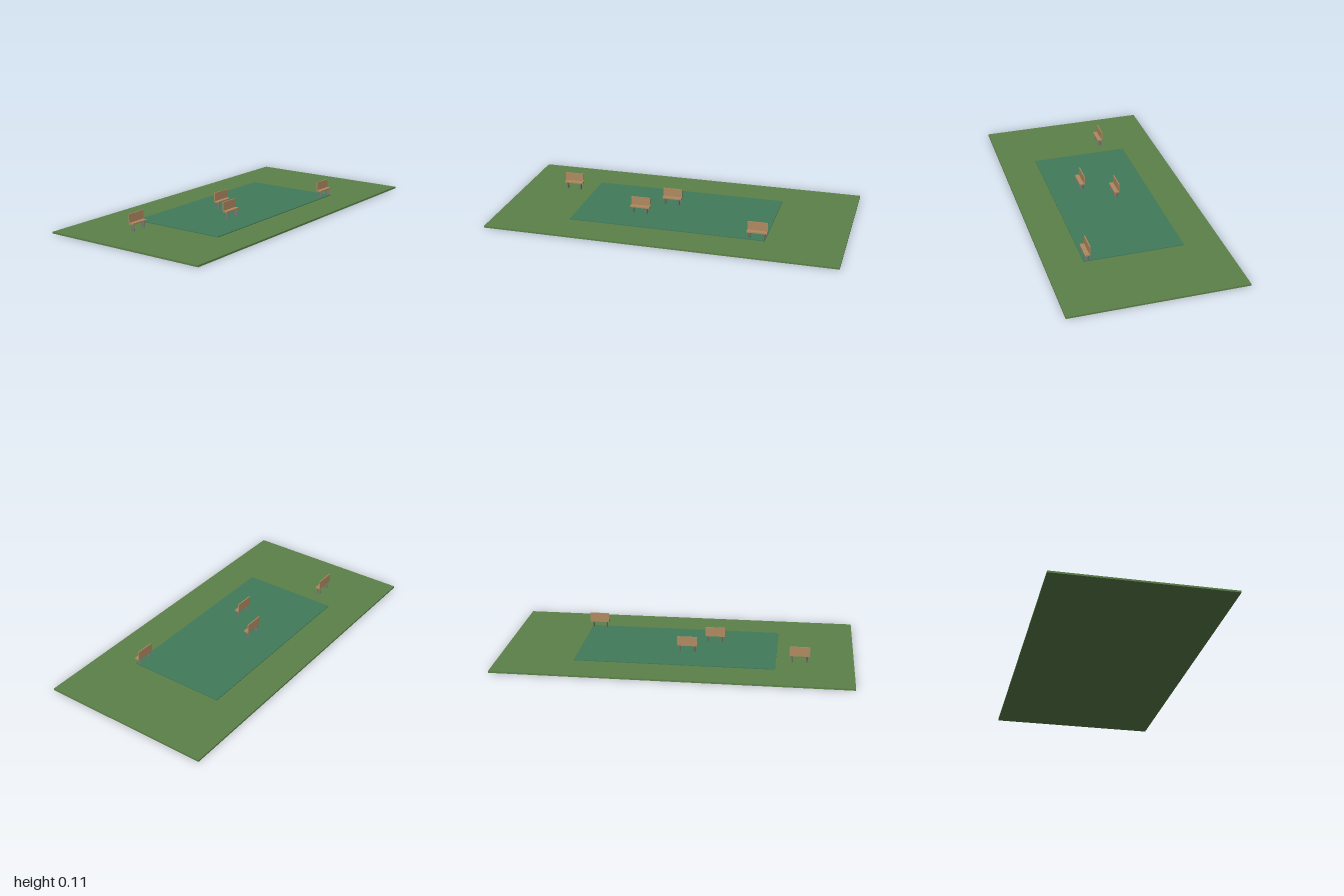
import * as THREE from 'three';

const material = (color) => new THREE.MeshStandardMaterial({ color });
const grass = material(0x5c814a);
const water = material(0x427a5a);
const wood = material(0xb08a60);
const metal = material(0x777777);

function addBox(parent, name, mat, size, position) {
  const mesh = new THREE.Mesh(new THREE.BoxGeometry(...size), mat);
  mesh.name = name;
  mesh.position.set(...position);
  parent.add(mesh);
}

// Bench facing +z, standing on y = 0
function createBench() {
  const bench = new THREE.Group();
  bench.name = 'bench';
  addBox(bench, 'seat', wood, [0.114, 0.008, 0.028], [0, 0.043, 0]);
  addBox(bench, 'backrest', wood, [0.114, 0.05, 0.006], [0, 0.071, -0.014]);

  // Flattened oval legs
  for (const side of [-1, 1]) {
    const geometry = new THREE.CylinderGeometry(0.0115, 0.0115, 0.039, 24);
    geometry.scale(0.4, 1, 1);
    const leg = new THREE.Mesh(geometry, metal);
    leg.name = side > 0 ? 'leftLeg' : 'rightLeg';
    leg.position.set(side * 0.041, 0.0195, 0);
    bench.add(leg);
  }
  return bench;
}

export function createModel() {
  const park = new THREE.Group();
  park.name = 'park';

  // Lawn slab and the thin inset panel on it
  addBox(park, 'lawn', grass, [2, 0.01, 0.99], [0, 0.005, 0]);
  addBox(park, 'centrePanel', water, [1.13, 0.006, 0.566], [0, 0.011, 0]);

  // Benches, as [x, z]
  const spots = [[-0.697, -0.155], [-0.2, 0.098], [-0.055, -0.072], [0.518, 0.264]];
  for (const [x, z] of spots) {
    const bench = createBench();
    bench.position.set(x, 0.01, z);
    park.add(bench);
  }
  return park;
}
